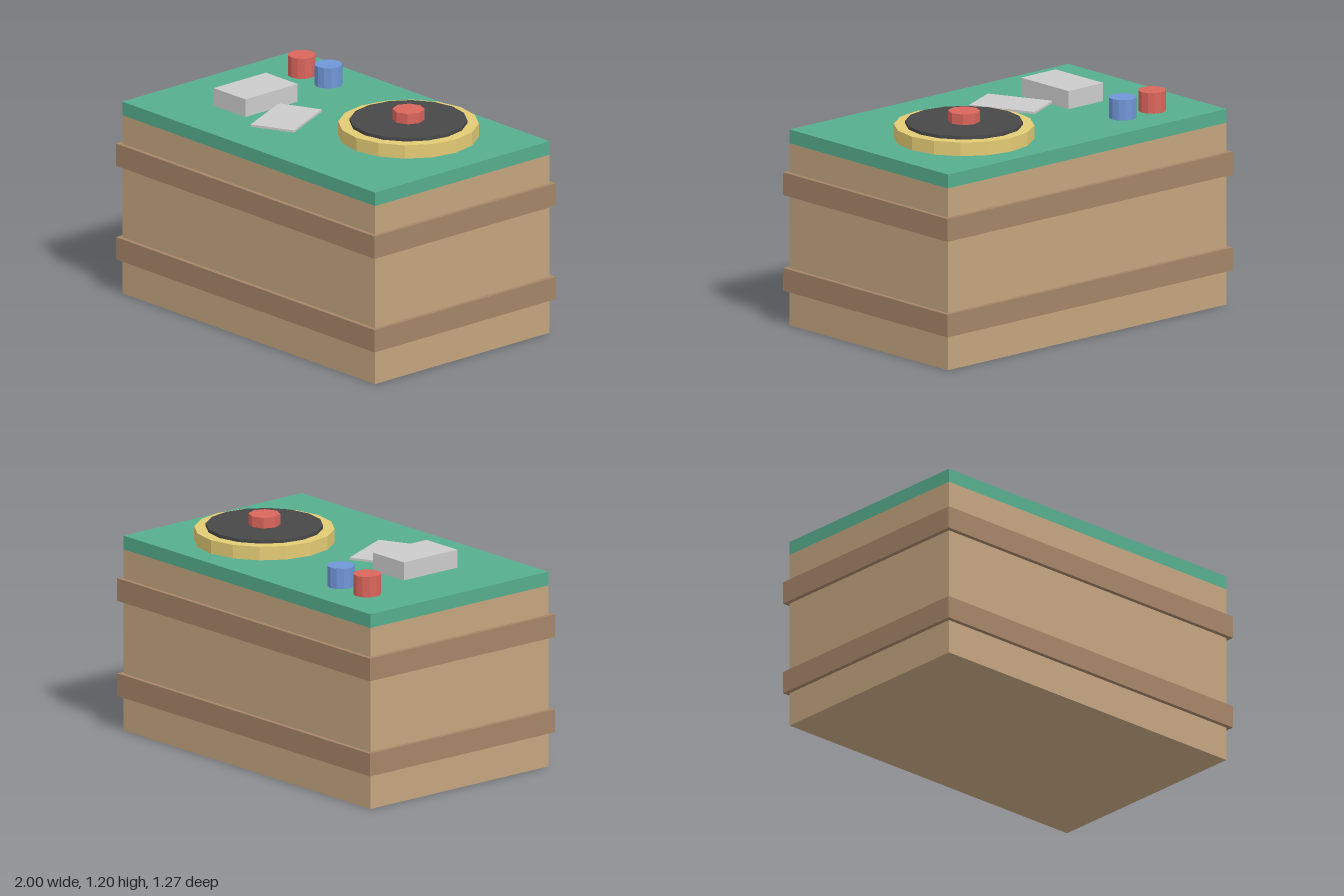
import * as THREE from 'three';

const TOP = 1.05; // height of the green table surface

export function createModel() {
  const group = new THREE.Group();
  const mat = (color) => new THREE.MeshStandardMaterial({ color, flatShading: true });
  const wood = mat(0xc4a57f), darkWood = mat(0xa58568), green = mat(0x56ae8e);
  const gold = mat(0xe2cb74), black = mat(0x484848), red = mat(0xd9655c);
  const blue = mat(0x6f96d6), grey = mat(0xcccccc);

  const add = (name, geometry, material, x, y, z) => {
    const mesh = new THREE.Mesh(geometry, material);
    mesh.name = name;
    mesh.position.set(x, y, z);
    group.add(mesh);
    return mesh;
  };
  // y0 and y1 are the bottom and top heights
  const box = (name, material, w, d, y0, y1, x = 0, z = 0) =>
    add(name, new THREE.BoxGeometry(w, y1 - y0, d), material, x, (y0 + y1) / 2, z);
  const disc = (name, material, r, sides, y0, y1, x, z) =>
    add(name, new THREE.CylinderGeometry(r, r, y1 - y0, sides), material, x, (y0 + y1) / 2, z);

  // Crate with two bands and a felt top
  box('crate', wood, 1.952, 1.22, 0, 0.976);
  box('lowerBand', darkWood, 2, 1.268, 0.185, 0.307);
  box('upperBand', darkWood, 2, 1.268, 0.698, 0.82);
  box('feltTop', green, 1.952, 1.22, 0.976, TOP);

  // Stacked wheel
  disc('wheelRim', gold, 0.365, 16, TOP, 1.123, 0.422, -0.125);
  disc('wheelPlate', black, 0.305, 16, 1.123, 1.141, 0.422, -0.125);
  disc('wheelHub', red, 0.084, 8, 1.141, 1.198, 0.422, -0.125);

  // Chip stacks
  disc('redChips', red, 0.073, 12, TOP, 1.16, -0.673, -0.37);
  disc('blueChips', blue, 0.073, 12, TOP, 1.16, -0.467, -0.37);

  // Deck and a single turned card
  box('cardDeck', grey, 0.244, 0.366, TOP, 1.147, -0.488, 0.12);
  box('looseCard', grey, 0.244, 0.366, 1.057, 1.069, -0.185, 0.18).rotation.y = 0.43;

  return group;
}
